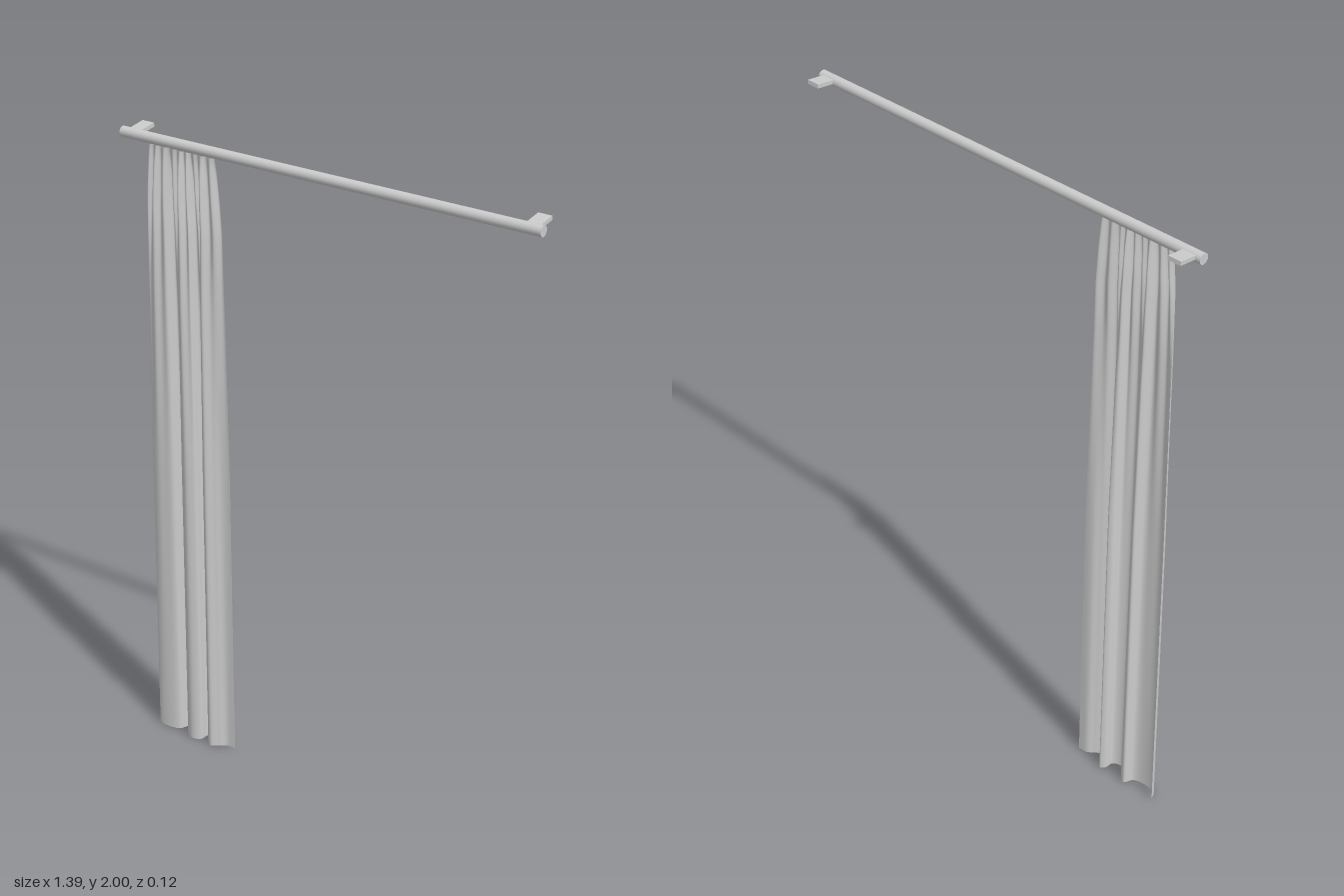
import * as THREE from 'three';

const grey = new THREE.MeshStandardMaterial({ color: 0xcccccc });
const cloth = new THREE.MeshStandardMaterial({ color: 0xcccccc, side: THREE.DoubleSide });

// Piecewise linear lookup through [position, value] pairs
function ramp(pairs, y) {
  for (let i = 1; i < pairs.length; i++) {
    const [a, va] = pairs[i - 1], [b, vb] = pairs[i];
    if (y <= b) return va + (vb - va) * (y - a) / (b - a);
  }
  return pairs[pairs.length - 1][1];
}

// Hem of the curtain in plan (x, z): three deep folds and a flat edge
const hem = new THREE.CatmullRomCurve3([
  [-0.63, 0.02], [-0.618, 0.044], [-0.575, 0.05], [-0.54, 0.04], [-0.523, 0.012],
  [-0.507, 0.018], [-0.5, 0.048], [-0.472, 0.06], [-0.446, 0.048], [-0.441, 0.02],
  [-0.426, 0.009], [-0.423, 0.04], [-0.4, 0.06], [-0.375, 0.045], [-0.355, 0.03], [-0.325, 0.027],
].map(([x, z]) => new THREE.Vector3(x, 0, z)));

const leftEdge = [[0, -0.63], [1, -0.615], [1.6, -0.602], [1.8, -0.594], [1.975, -0.58]];
const rightEdge = [[0, -0.325], [1, -0.321], [1.75, -0.327], [1.975, -0.342]];
const depth = [[0, 1], [1, 0.92], [1.5, 0.72], [1.8, 0.42], [1.9, 0.28], [1.975, 0.06]];
const gathering = [[0, 0], [1, 0.1], [1.6, 0.5], [1.975, 1]];
const pleating = [[0, 0], [1, 0.001], [1.6, 0.004], [1.85, 0.008], [1.93, 0.006], [1.975, 0.002]];

// Cloth gathered into narrow pleats at the rod, relaxing into the hem folds
function curtainGeometry() {
  const cols = 180, rows = 60, height = 1.975;
  const section = hem.getSpacedPoints(cols);
  const g = new THREE.PlaneGeometry(1, 1, cols, rows);
  const pos = g.attributes.position;
  for (let j = 0; j <= rows; j++) {
    const y = height * (1 - Math.pow(j / rows, 1.4));
    const l = ramp(leftEdge, y), r = ramp(rightEdge, y);
    const d = ramp(depth, y), gather = ramp(gathering, y), pleat = ramp(pleating, y);
    for (let i = 0; i <= cols; i++) {
      const u = i / cols, p = section[i];
      const v = THREE.MathUtils.lerp((p.x + 0.63) / 0.305, u, gather);
      const wave = Math.sin(u * Math.PI * 18 + 0.8 * Math.sin(u * 11));
      pos.setXYZ(j * (cols + 1) + i, l + (r - l) * v, y, 0.035 + (p.z - 0.035) * d + pleat * wave);
    }
  }
  g.computeVertexNormals();
  return g;
}

export function createModel() {
  const model = new THREE.Group();
  const add = (name, geometry, material = grey) => {
    const mesh = new THREE.Mesh(geometry, material);
    mesh.name = name;
    model.add(mesh);
    return mesh;
  };

  // Rod
  const rod = add('curtainRod', new THREE.CylinderGeometry(0.016, 0.016, 1.39, 32));
  rod.rotation.z = Math.PI / 2;
  rod.position.set(0, 1.982, 0.009);

  // Flat wall brackets, rising slightly towards the wall
  for (const side of [-1, 1]) {
    const bracket = add(side > 0 ? 'leftBracket' : 'rightBracket', new THREE.BoxGeometry(0.042, 0.012, 0.07));
    bracket.position.set(side * 0.658, 1.989, -0.027);
    bracket.rotation.x = 0.13;
  }

  // Drawn curtain
  add('curtain', curtainGeometry(), cloth);
  return model;
}
